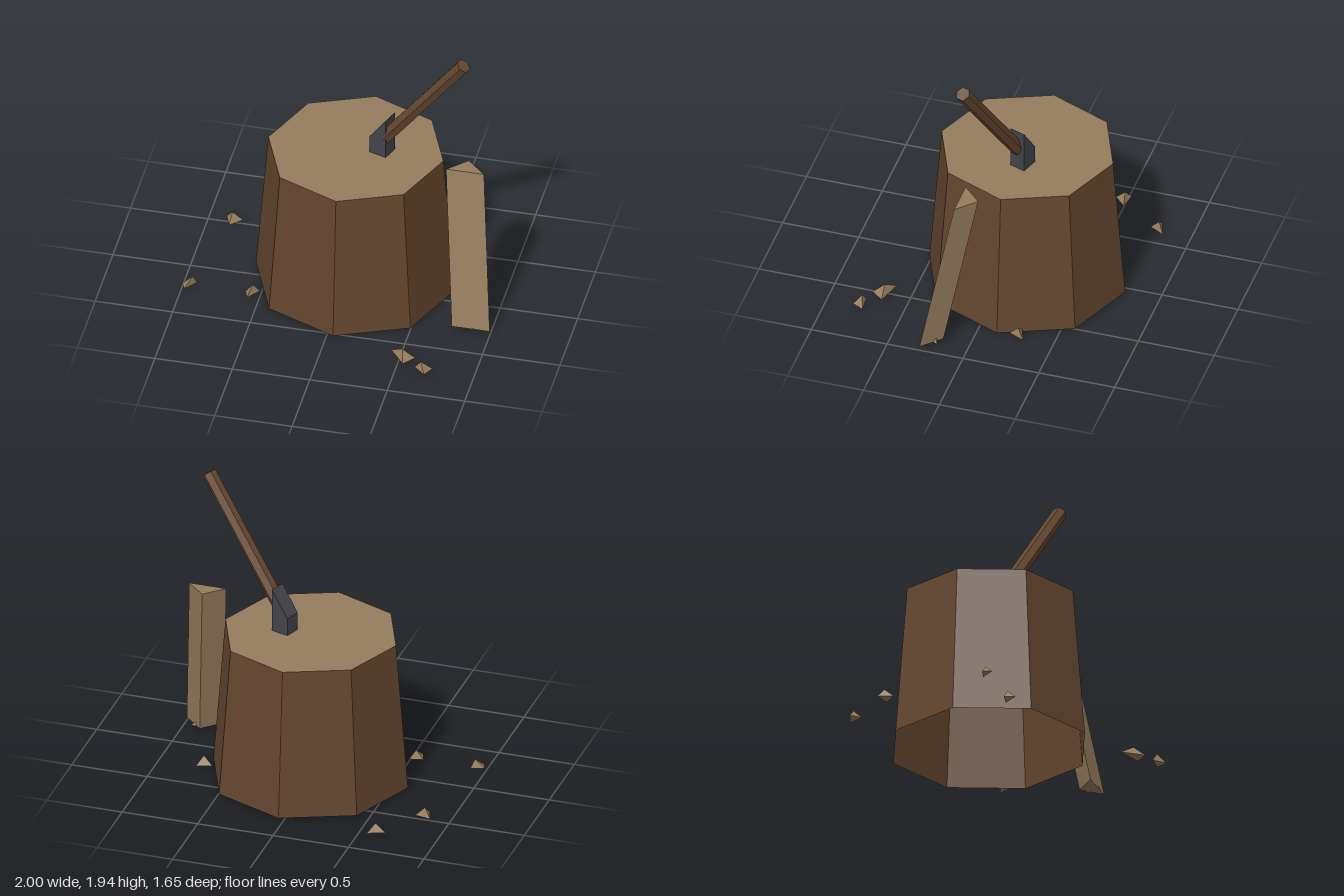
import * as THREE from 'three';
import { ConvexGeometry } from 'three/addons/geometries/ConvexGeometry.js';

export function createModel() {
  const model = new THREE.Group();
  model.name = 'choppingBlock';

  const mat = (name, color, side = THREE.FrontSide) => {
    const m = new THREE.MeshStandardMaterial({ color, flatShading: true, side });
    m.name = name;
    return m;
  };
  const bark = mat('bark brown', 0x64462f, THREE.DoubleSide);
  const wood = mat('cut wood', 0x967c5e, THREE.DoubleSide);
  const metal = mat('dark metal', 0x43444a);

  const add = (name, geometry, material, parent = model) => {
    const mesh = new THREE.Mesh(geometry, material);
    mesh.name = name;
    parent.add(mesh);
    return mesh;
  };
  // Solid hull around a few [x, y, z] corners
  const hull = (points) => new ConvexGeometry(points.map((p) => new THREE.Vector3(...p)));

  // Stump: tapered eight-sided trunk, open underneath, with a cut top
  const stump = new THREE.Group();
  stump.name = 'stump';
  stump.position.set(0.04, 0, -0.125);
  model.add(stump);
  add('stumpBark', new THREE.CylinderGeometry(0.565, 0.645, 1, 8, 1, true), bark, stump).position.y = 0.5;
  const top = add('stumpTop', new THREE.CircleGeometry(0.565, 8), wood, stump);
  top.rotation.x = -Math.PI / 2;
  top.position.y = 1;

  // Axe head: block with a sloped back, sunk slightly into the stump
  const footprint = [
    [0.13, -0.115, 1.12], [0.165, -0.215, 1.12],
    [0.28, -0.178, 1.29], [0.243, -0.076, 1.29],
  ];
  add('axeHead', hull(footprint.flatMap(([x, z, y]) => [[x, 0.99, z], [x, y, z]])), metal);

  // Axe handle: six-sided shaft leaning up and out
  const start = new THREE.Vector3(0.235, 1.135, -0.122);
  const end = new THREE.Vector3(0.78, 1.92, 0.07);
  const axis = end.clone().sub(start);
  const length = axis.length();
  axis.normalize();
  const side = new THREE.Vector3(-axis.z, 0, axis.x).normalize();
  const handle = add('axeHandle', new THREE.CylinderGeometry(0.047, 0.047, length, 6, 1, false, Math.PI / 2), bark);
  handle.quaternion.setFromRotationMatrix(
    new THREE.Matrix4().makeBasis(side, axis, side.clone().cross(axis)));
  handle.position.copy(start).add(end).multiplyScalar(0.5);

  // Split log: leaning three-sided prism
  const logTop = [[0.67, 1.1, 0.085], [0.915, 1.1, 0.085], [0.79, 1.1, -0.035]];
  const logBase = logTop.map(([x, y, z]) => [x + 0.083, y - 1.075, z + 0.203]);
  add('splitLog', hull([...logTop, ...logBase]), wood);

  // Wood chips: three ground corners (x, z) and the x, z of the peak
  const chips = [
    [-0.68, -0.79, -0.565, -0.83, -0.62, -0.73, -0.61, -0.79],
    [-0.885, -0.525, -0.775, -0.505, -0.85, -0.43, -0.84, -0.495],
    [-1.0, 0.225, -0.91, 0.195, -0.975, 0.28, -0.935, 0.22],
    [-0.595, 0.215, -0.505, 0.195, -0.57, 0.285, -0.545, 0.22],
    [0.64, -0.28, 0.74, -0.315, 0.69, -0.21, 0.7, -0.27],
    [0.435, 0.61, 0.605, 0.66, 0.54, 0.74, 0.52, 0.665],
    [0.62, 0.755, 0.735, 0.745, 0.695, 0.82, 0.665, 0.77],
    [0.83, 0.21, 0.94, 0.19, 0.89, 0.3, 0.88, 0.22],
  ];
  const chipGroup = new THREE.Group();
  chipGroup.name = 'woodChips';
  model.add(chipGroup);
  chips.forEach(([ax, az, bx, bz, cx, cz, px, pz], i) => {
    const y = 0.025;
    add(`woodChip${i + 1}`, hull([[ax, y, az], [bx, y, bz], [cx, y, cz], [px, 0.085, pz]]), wood, chipGroup);
  });

  return model;
}
